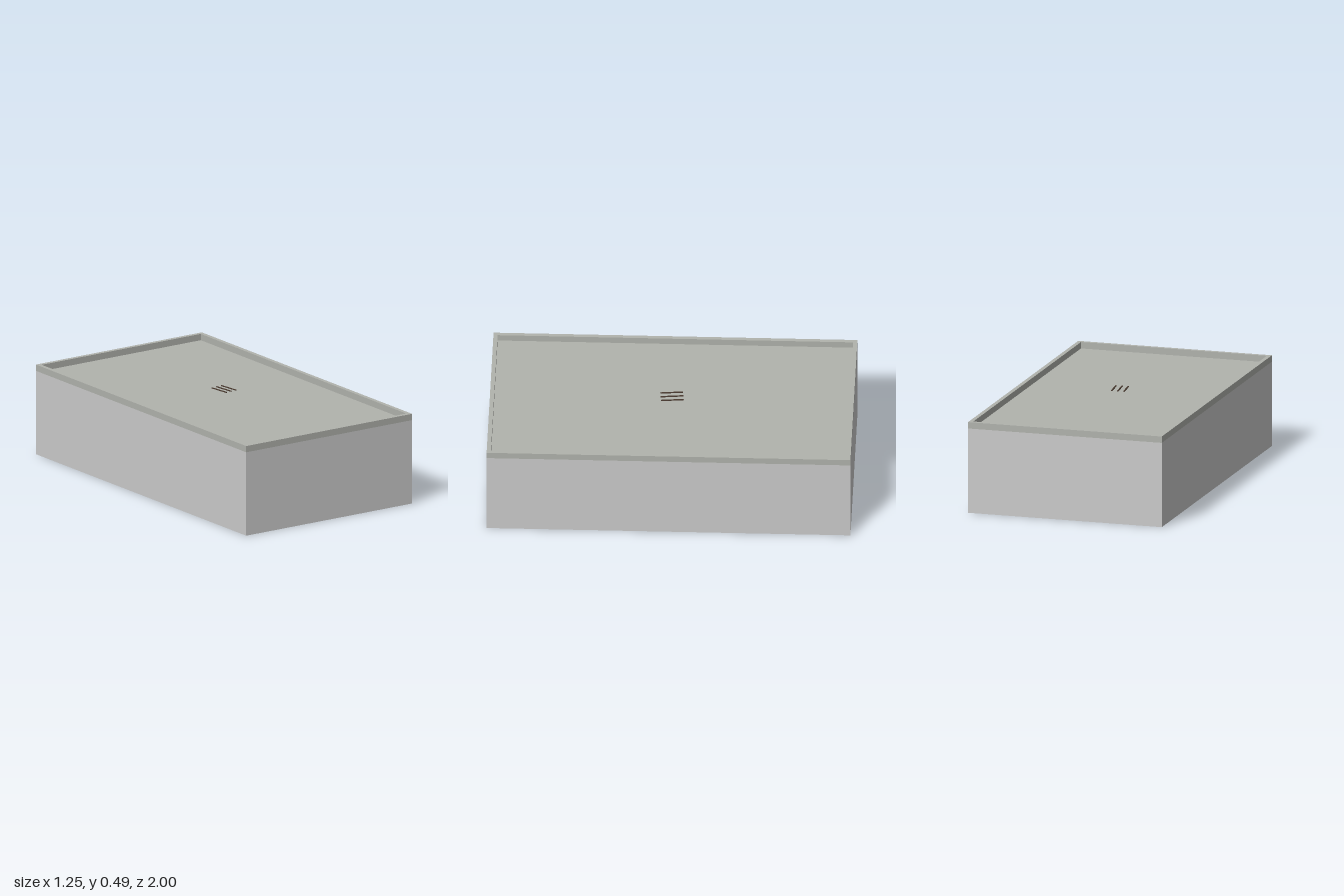
import * as THREE from 'three';

const W = 1.06, L = 1.898, H = 0.486, ROOF = 0.452, T = 0.022;

const mat = (color) => new THREE.MeshStandardMaterial({ color });
const wallMat = mat(0xcccccc), trimMat = mat(0xb1b3ad), glassMat = mat(0x555555);
const slabMat = mat(0x777777), railMat = mat(0x7f9ba3), ventMat = mat(0x4a3a30);

function box(parent, name, material, size, pos) {
  const mesh = new THREE.Mesh(new THREE.BoxGeometry(...size), material);
  mesh.position.set(...pos);
  mesh.name = name;
  parent.add(mesh);
  return mesh;
}

// Window with frame and sill, its face towards +z
function addWindow(parent, x, y) {
  const g = new THREE.Group();
  g.name = 'window';
  g.position.set(x, y, 0);
  box(g, 'windowPane', glassMat, [0.056, 0.09, 0.006], [0, 0, 0.002]);
  for (const s of [-1, 1]) box(g, 'windowFrame', trimMat, [0.005, 0.09, 0.01], [s * 0.03, 0, 0.004]);
  box(g, 'windowSill', slabMat, [0.07, 0.006, 0.016], [0, -0.048, 0.007]);
  parent.add(g);
}

// Balcony: slab with glass on three sides
function addBalcony(parent, x, y) {
  const g = new THREE.Group();
  g.name = 'balcony';
  g.position.set(x, y - 0.05, 0);
  box(g, 'balconySlab', slabMat, [0.1, 0.01, 0.04], [0, 0, 0.02]);
  box(g, 'balconyRail', railMat, [0.1, 0.035, 0.003], [0, 0.022, 0.038]);
  for (const s of [-1, 1]) box(g, 'balconyRail', railMat, [0.003, 0.035, 0.037], [s * 0.0485, 0.022, 0.02]);
  parent.add(g);
}

// One wall of a given length, outer face at z = 0, windows on the inner face
function makeFacade(length, columns) {
  const g = new THREE.Group();
  g.name = 'facade';
  box(g, 'wall', wallMat, [length, ROOF, T], [0, ROOF / 2, T / 2]);
  box(g, 'parapet', trimMat, [length, H - ROOF, T], [0, (H + ROOF) / 2, T / 2]);
  const inner = new THREE.Group();
  inner.name = 'windows';
  inner.position.z = T;
  const step = (length - 2 * T) / columns;
  [0.085, 0.235, 0.38].forEach((y, row) => {
    for (let i = 0; i < columns; i++) {
      const x = (i - (columns - 1) / 2) * step;
      addWindow(inner, x, y);
      if (row > 0 && i % 3 === 0) addBalcony(inner, x, y);
    }
  });
  box(inner, 'cornice', trimMat, [length - 2 * T, 0.012, 0.012], [0, ROOF - 0.018, 0.006]);
  g.add(inner);
  return g;
}

export function createModel() {
  const model = new THREE.Group();
  model.name = 'building';

  // The block stands slightly turned on its plot
  const block = new THREE.Group();
  block.name = 'block';
  block.rotation.y = THREE.MathUtils.degToRad(-6);
  model.add(block);

  // Four facades around an open-bottomed shell
  for (const s of [-1, 1]) {
    const end = makeFacade(W, 7);
    end.position.z = s * L / 2;
    end.rotation.y = s > 0 ? Math.PI : 0;
    block.add(end);
    const side = makeFacade(L, 12);
    side.position.x = s * W / 2;
    side.rotation.y = -s * Math.PI / 2;
    block.add(side);
  }

  // Flat roof inside the parapet
  box(block, 'roof', trimMat, [W - 2 * T, 0.012, L - 2 * T], [0, ROOF - 0.006, 0]);

  // Three thin strips raised above the roof
  for (const x of [-0.033, 0, 0.033]) {
    box(model, 'roofStrip', ventMat, [0.007, 0.004, 0.118], [x, 0.487, 0]);
  }
  return model;
}
